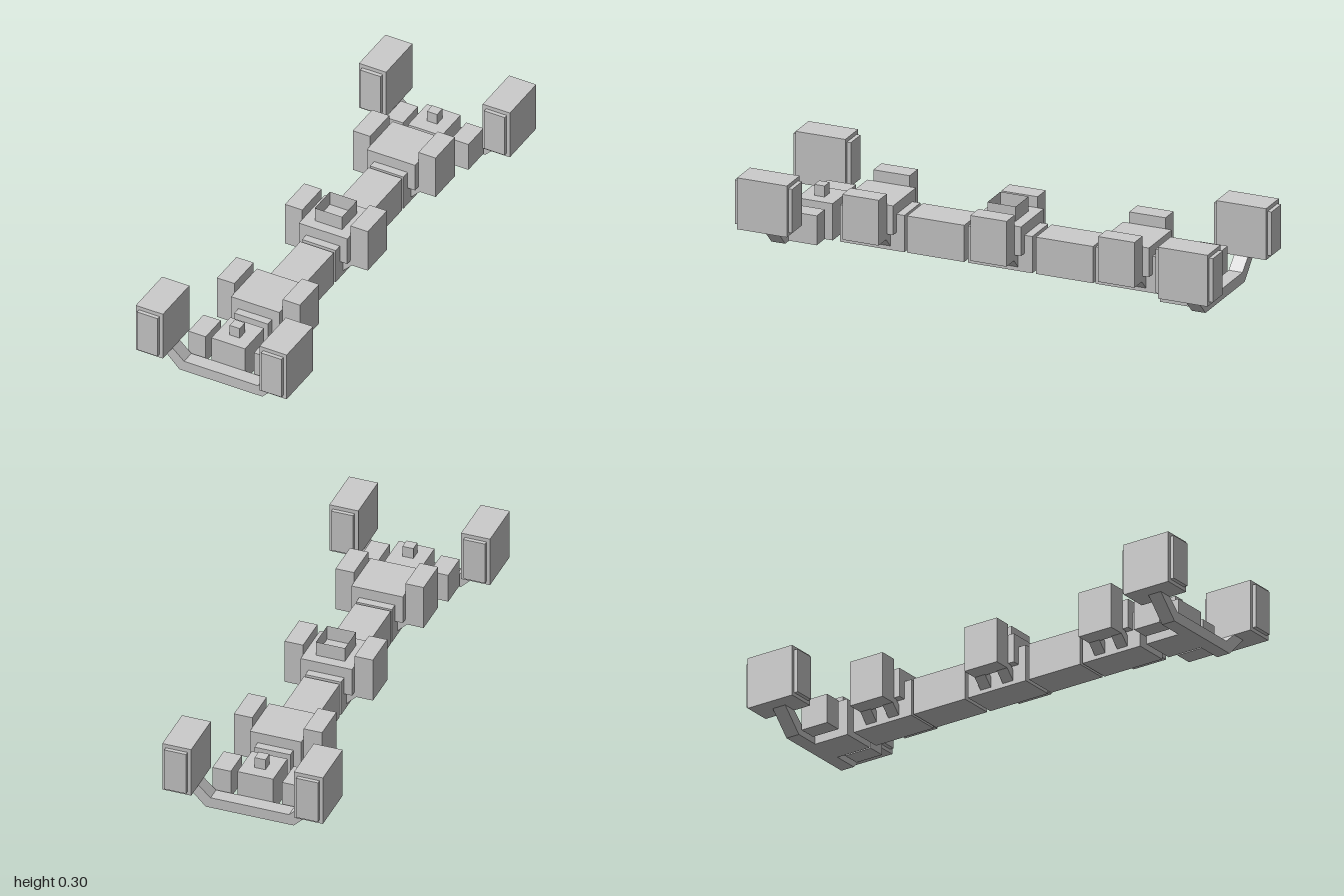
import * as THREE from 'three';

const material = new THREE.MeshStandardMaterial({ color: 0xcccccc, flatShading: true });
const openMaterial = new THREE.MeshStandardMaterial({ color: 0xcccccc, flatShading: true, side: THREE.DoubleSide });

// Box given by its limits on each axis
function box(parent, name, [x0, x1], [y0, y1], [z0, z1]) {
  const mesh = new THREE.Mesh(new THREE.BoxGeometry(x1 - x0, y1 - y0, z1 - z0), material);
  mesh.position.set((x0 + x1) / 2, (y0 + y1) / 2, (z0 + z1) / 2);
  mesh.name = name;
  parent.add(mesh);
}

// The same box on the left (+x) and right (-x)
function boxPair(parent, name, [x0, x1], y, z) {
  box(parent, name + 'Left', [x0, x1], y, z);
  box(parent, name + 'Right', [-x1, -x0], y, z);
}

// Outline in the xy plane, extruded from z0 to z1
function slab(parent, name, points, z0, z1) {
  const shape = new THREE.Shape(points.map(([x, y]) => new THREE.Vector2(x, y)));
  const geometry = new THREE.ExtrudeGeometry(shape, { depth: z1 - z0, bevelEnabled: false });
  const mesh = new THREE.Mesh(geometry, material);
  mesh.position.z = z0;
  mesh.name = name;
  parent.add(mesh);
}

// Spine block with a raised housing, side pods and slanted struts
function createHub(name, z) {
  const hub = new THREE.Group();
  hub.name = name;
  hub.position.z = z;
  box(hub, 'hubBase', [-0.073, 0.073], [0, 0.15], [-0.135, 0.135]);
  box(hub, 'hubHousing', [-0.105, 0.105], [0.076, 0.195], [-0.102, 0.102]);
  boxPair(hub, 'sidePod', [0.105, 0.18], [0.055, 0.24], [-0.076, 0.076]);
  const strut = [[0.07, 0.013], [0.125, 0.068], [0.125, 0.112], [0.07, 0.057]];
  for (const side of [-1, 1]) {
    const outline = strut.map(([x, y]) => [x * side, y]);
    for (const centre of [-0.052, 0.052]) {
      slab(hub, 'podStrut', outline, centre - 0.024, centre + 0.024);
    }
  }
  return hub;
}

// End block with a bent crossbar carrying two large pods
function createEnd(name) {
  const end = new THREE.Group();
  end.name = name;
  box(end, 'endBlock', [-0.073, 0.073], [0, 0.15], [0.70, 0.85]);
  box(end, 'endSensor', [-0.022, 0.022], [0.15, 0.195], [0.757, 0.8]);
  boxPair(end, 'lowerPod', [0.105, 0.18], [0.015, 0.135], [0.718, 0.837]);
  slab(end, 'crossbar', [
    [-0.18, 0], [0.18, 0], [0.275, 0.095], [0.215, 0.095],
    [0.16, 0.045], [-0.16, 0.045], [-0.215, 0.095], [-0.275, 0.095],
  ], 0.85, 0.908);
  boxPair(end, 'outerPod', [0.21, 0.328], [0.09, 0.3], [0.776, 0.984]);
  boxPair(end, 'outerPodPanel', [0.225, 0.314], [0.105, 0.284], [0.76, 1]);
  return end;
}

export function createModel() {
  const model = new THREE.Group();
  model.name = 'segmentedFrame';

  // Row of hubs joined by plain spine links
  model.add(createHub('frontHub', 0.535), createHub('middleHub', 0), createHub('rearHub', -0.535));
  box(model, 'frontLink', [-0.073, 0.073], [0, 0.15], [0.15, 0.389]);
  box(model, 'rearLink', [-0.073, 0.073], [0, 0.15], [-0.389, -0.15]);

  // Open square collar on the middle hub
  const collar = new THREE.CylinderGeometry(0.0835, 0.0835, 0.06, 4, 1, true).rotateY(Math.PI / 4);
  const collarMesh = new THREE.Mesh(collar, openMaterial);
  collarMesh.position.y = 0.225;
  collarMesh.name = 'openCollar';
  model.add(collarMesh);

  // Matching ends, the rear one turned around
  const rear = createEnd('rearEnd');
  rear.rotation.y = Math.PI;
  model.add(createEnd('frontEnd'), rear);
  return model;
}
